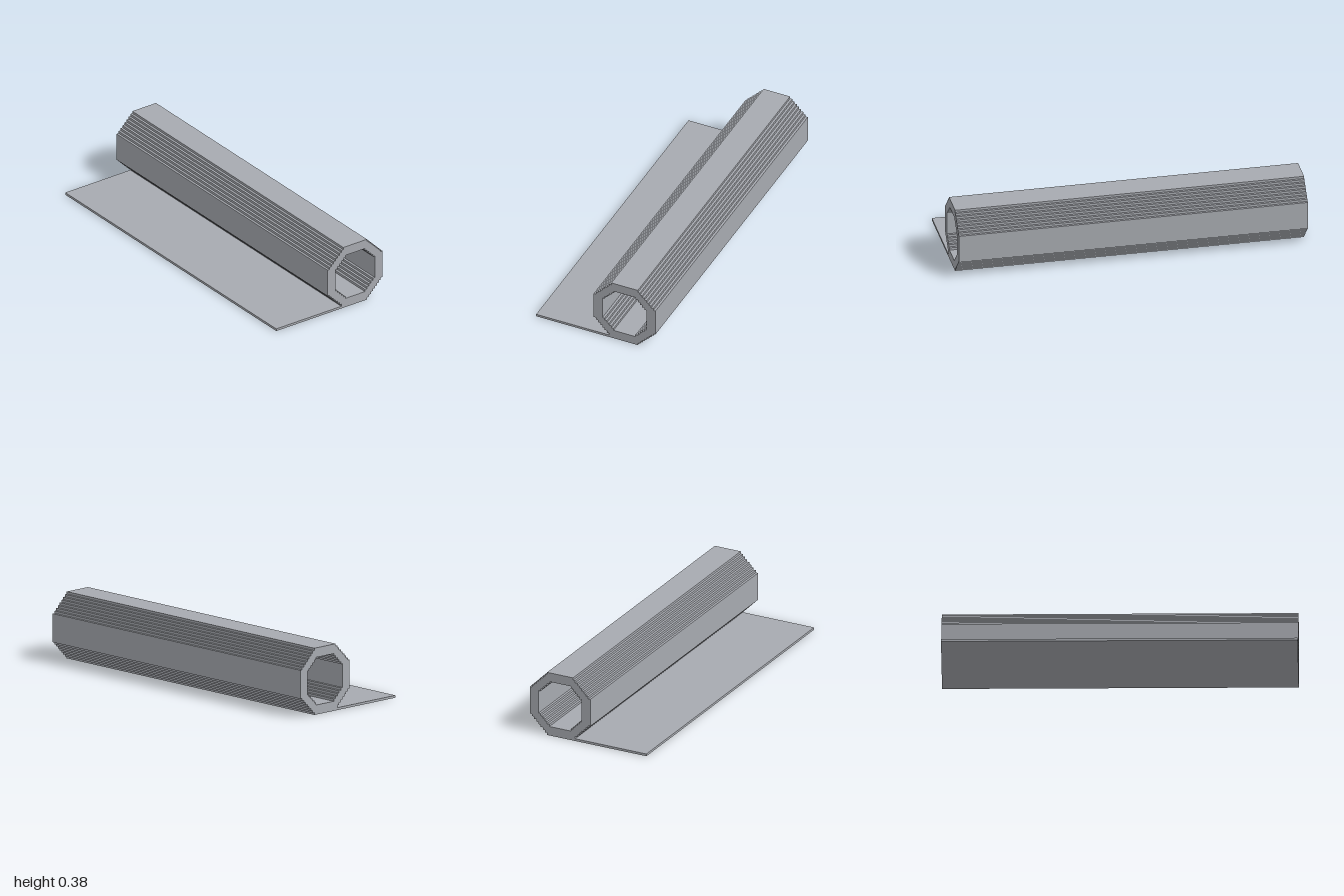
import * as THREE from 'three';

const U = 2 / 146; // one step of the stepped profile
const LENGTH = 2;

// Closed octagon outline with stair-stepped corners, clockwise, in step units around (cx, cy)
function steppedOctagon(half, flat, cx, cy) {
  const quarter = [];
  for (let i = flat; i < half; i++) {
    const y = half - (i - flat);
    quarter.push([i, y], [i, y - 1]);
  }
  quarter.push([half, flat]);
  const points = [];
  for (let q = 0; q < 4; q++) {
    for (const [x, y] of quarter) {
      // turn the corner clockwise by quarter turns
      const [a, b] = [[x, y], [y, -x], [-x, -y], [-y, x]][q];
      points.push(new THREE.Vector2((cx + a) * U, (cy + b) * U));
    }
  }
  return points;
}

export function createModel() {
  const model = new THREE.Group();
  model.name = 'rolledSheet';
  const grey = new THREE.MeshStandardMaterial({ color: 0xa7aab0 });
  grey.name = 'grey';

  // Hollow roll along x, profile drawn in (z, y); the hole runs counter-clockwise
  const profile = new THREE.Shape(steppedOctagon(14, 6, -13, 14));
  profile.holes.push(new THREE.Path(steppedOctagon(10, 5, -13, 14).reverse()));
  const rollGeometry = new THREE.ExtrudeGeometry(profile, { depth: LENGTH, bevelEnabled: false });
  rollGeometry.translate(0, 0, -LENGTH / 2);
  rollGeometry.rotateY(-Math.PI / 2);
  const roll = new THREE.Mesh(rollGeometry, grey);
  roll.name = 'roll';
  model.add(roll);

  // Flat sheet running forward from the bottom of the roll
  const back = -7, front = 27;
  const sheet = new THREE.Mesh(new THREE.BoxGeometry(LENGTH, U, (front - back) * U), grey);
  sheet.position.set(0, U / 2, ((front + back) / 2) * U);
  sheet.name = 'flatSheet';
  model.add(sheet);

  return model;
}
